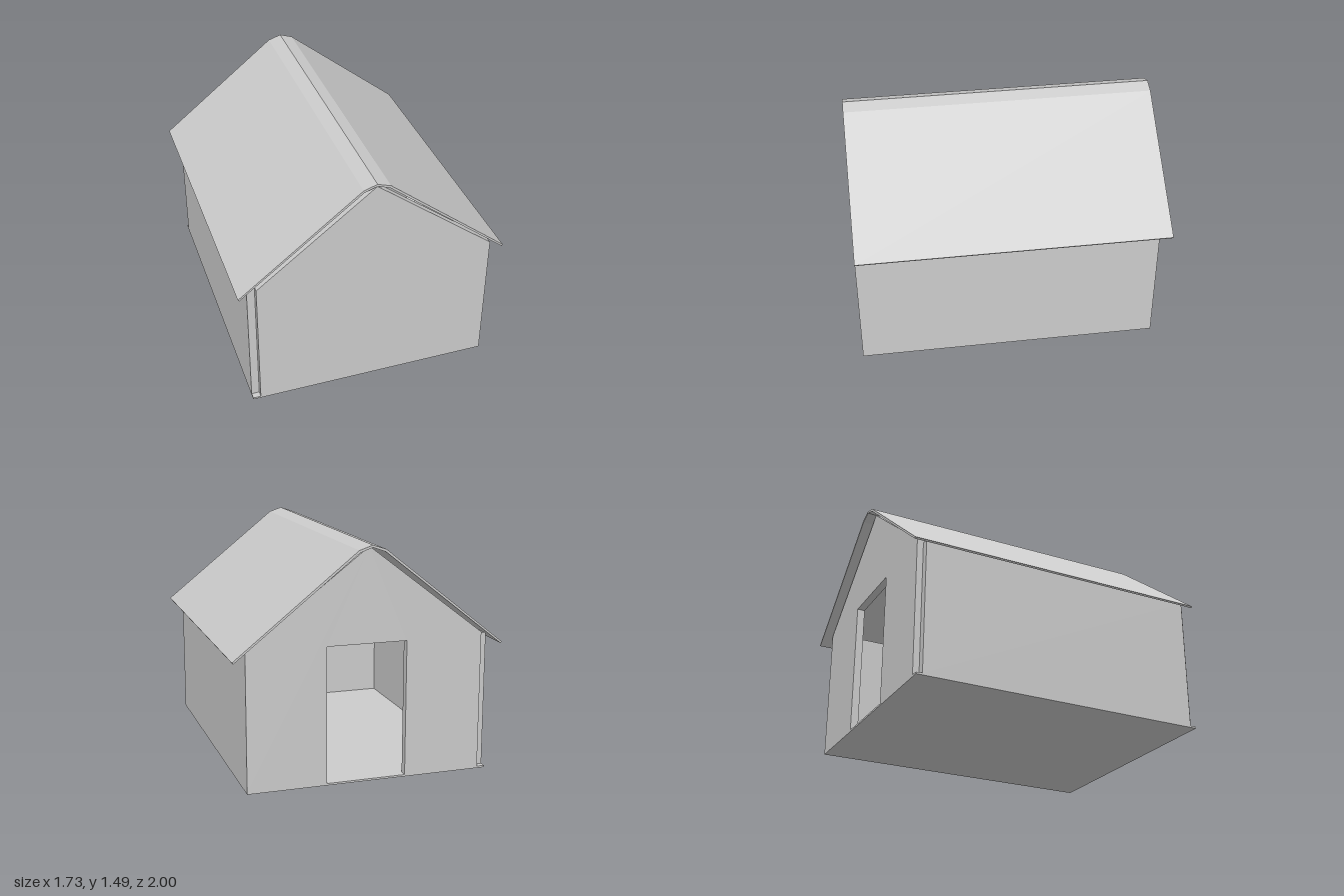
import * as THREE from 'three';

const material = new THREE.MeshStandardMaterial({ color: 0xcccccc, flatShading: true, side: THREE.DoubleSide });

// Box given by its minimum and maximum corners
function box(name, [x0, y0, z0], [x1, y1, z1]) {
  const mesh = new THREE.Mesh(new THREE.BoxGeometry(x1 - x0, y1 - y0, z1 - z0), material);
  mesh.name = name;
  mesh.position.set((x0 + x1) / 2, (y0 + y1) / 2, (z0 + z1) / 2);
  return mesh;
}

// Outline in x and y, extruded from z0 to z1
function slab(name, points, z0, z1) {
  const shape = new THREE.Shape(points.map(([x, y]) => new THREE.Vector2(x, y)));
  const geometry = new THREE.ExtrudeGeometry(shape, { depth: z1 - z0, bevelEnabled: false });
  const mesh = new THREE.Mesh(geometry, material);
  mesh.name = name;
  mesh.position.z = z0;
  return mesh;
}

export function createModel() {
  const model = new THREE.Group();
  model.name = 'barn';
  const floorTop = 0.012;

  // Floor slab
  model.add(box('floor', [-0.8, 0, -0.94], [0.77, floorTop, 1]));

  // Gable walls; the back one is notched by the doorway
  model.add(slab('frontGable', [
    [-0.75, floorTop], [0.77, floorTop], [0.77, 0.885], [0, 1.475], [-0.75, 0.885],
  ], 0.95, 1));
  model.add(slab('backGable', [
    [-0.75, floorTop], [-0.25, floorTop], [-0.25, 0.88], [0.265, 0.88], [0.265, floorTop],
    [0.77, floorTop], [0.77, 0.885], [0, 1.475], [-0.75, 0.9],
  ], -0.94, -0.89));

  // Side walls; the right one sits outside the gable ends
  model.add(box('leftWall', [0.72, floorTop, -0.89], [0.77, 0.885, 0.95]));
  model.add(box('rightWall', [-0.8, floorTop, -0.9], [-0.75, 0.885, 0.96]));

  // Tie beams across the wall tops
  for (const z of [-0.47, 0.47]) {
    model.add(box('tieBeam', [-0.72, 0.88, z - 0.03], [0.72, 0.93, z + 0.03]));
  }

  // Thin roof sheet with a flattened ridge
  const halfTop = [[0.863, 0.843], [0.085, 1.462]];
  const halfUnder = [[0.08, 1.447], [0.856, 0.833]];
  const mirror = (points) => points.map(([x, y]) => [-x, y]).reverse();
  model.add(slab('roof', [
    ...halfTop, [0, 1.49], ...mirror(halfTop),
    ...mirror(halfUnder), [0, 1.476], ...halfUnder,
  ], -1, 1));

  return model;
}
